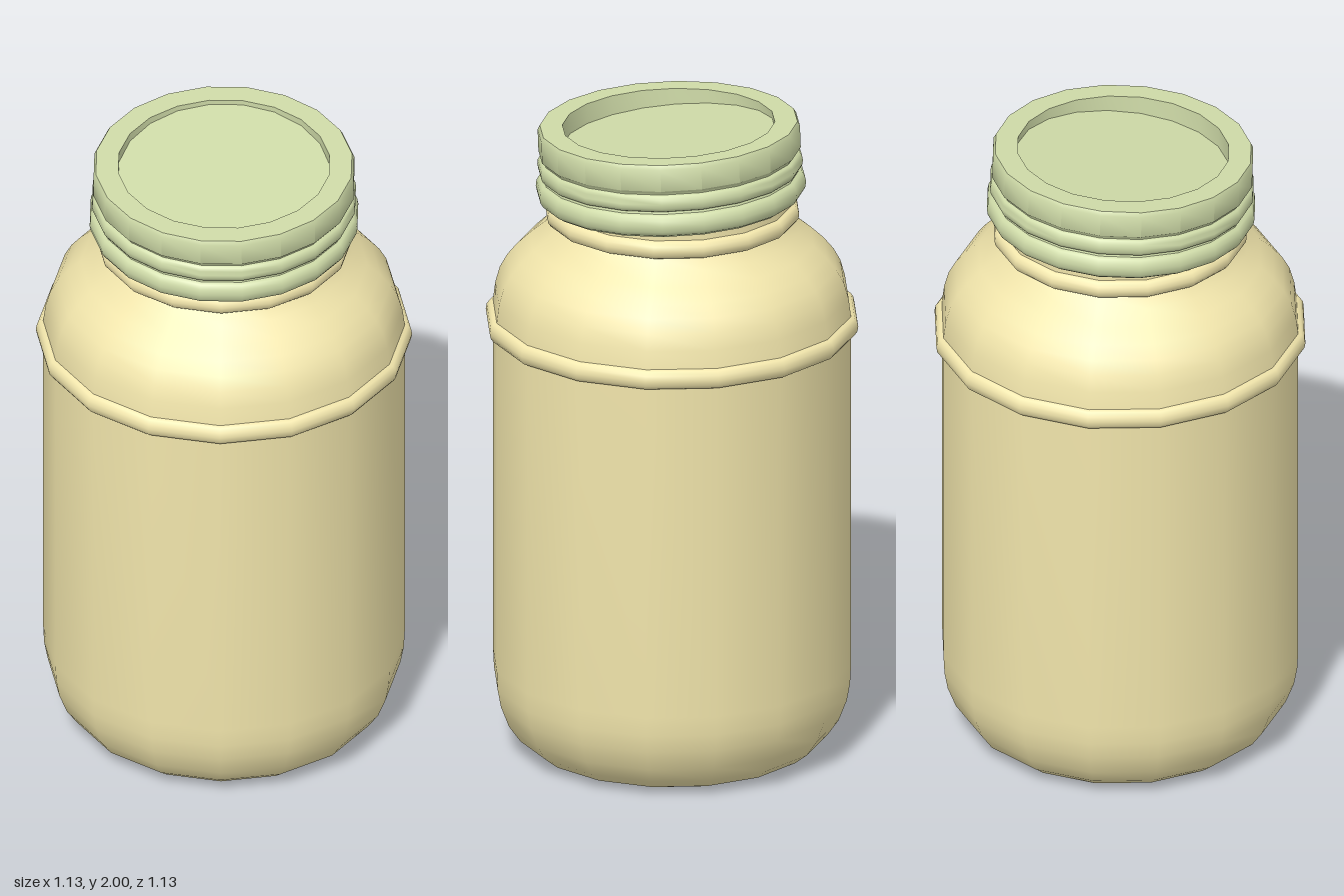
import * as THREE from 'three';
import { toCreasedNormals } from 'three/addons/utils/BufferGeometryUtils.js';

const glassMat = new THREE.MeshStandardMaterial({ color: 0xf2e6ac });
const lidMat = new THREE.MeshStandardMaterial({ color: 0xcfdba8 });

// Turns a [radius, height] profile into a smooth solid with sharp corners kept
function turned(name, profile, sides, material) {
  const points = profile.map(([r, y]) => new THREE.Vector2(r, y));
  const geometry = toCreasedNormals(new THREE.LatheGeometry(points, sides), 0.85);
  const mesh = new THREE.Mesh(geometry, material);
  mesh.name = name;
  return mesh;
}

// Half-round ridge from y0 to y1 bulging out from radius r
function ridge(r, y0, y1, bulge, steps = 6) {
  const points = [];
  for (let i = 0; i <= steps; i++) {
    const a = (i / steps) * Math.PI;
    points.push([r + bulge * Math.sin(a), (y0 + y1) / 2 - ((y1 - y0) / 2) * Math.cos(a)]);
  }
  return points;
}

export function createModel() {
  const model = new THREE.Group();
  model.name = 'jarWithLid';

  // Jar: rounded base, straight wall, shoulder bead, shoulder, neck bead, neck
  model.add(turned('jar', [
    [0, 0.015], [0.3, 0.012], [0.36, 0], [0.39, 0.003],
    [0.43, 0.018], [0.47, 0.05], [0.505, 0.1], [0.53, 0.165], [0.54, 0.22], [0.543, 0.28],
    ...ridge(0.543, 1.332, 1.395, 0.022),
    [0.536, 1.45], [0.522, 1.5], [0.5, 1.54], [0.47, 1.577], [0.43, 1.615], [0.385, 1.652], [0.36, 1.683],
    ...ridge(0.364, 1.685, 1.742, 0.022),
    [0.364, 1.87], [0.345, 1.885], [0, 1.885],
  ], 16, glassMat));

  // Lid sits slightly crooked on the neck
  const lid = new THREE.Group();
  lid.name = 'lid';
  lid.position.set(0.005, 1.87, 0.005);
  lid.rotation.set(0.03, 0, -0.03);
  model.add(lid);

  // Threaded ring with an open top
  lid.add(turned('lidRing', [
    [0.372, -0.112], [0.385, -0.115],
    ...ridge(0.386, -0.112, -0.043, 0.021),
    ...ridge(0.384, -0.036, 0.018, 0.016),
    [0.386, 0.024], [0.395, 0.032], [0.395, 0.1], [0.388, 0.113],
    [0.32, 0.113], [0.32, 0.022], [0.372, 0.018], [0.372, -0.112],
  ], 20, lidMat));

  // Loose disc inside the ring, tilted a little further
  const disc = turned('lidDisc', [[0, -0.012], [0.328, -0.012], [0.328, 0], [0, 0]], 20, lidMat);
  disc.position.y = 0.074;
  disc.rotation.set(0.052, 0, -0.052);
  lid.add(disc);

  return model;
}
